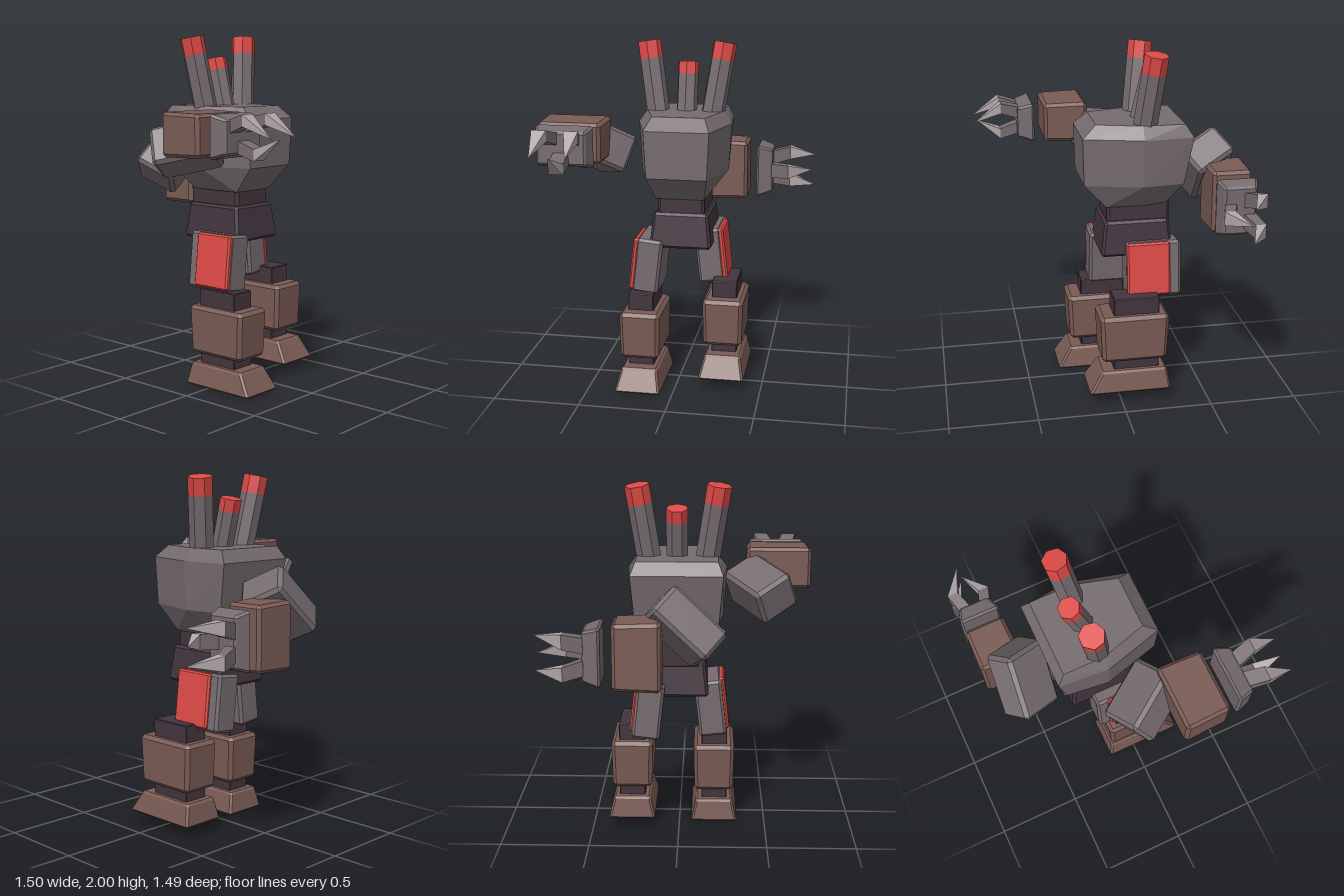
import * as THREE from 'three';
import { ConvexGeometry } from 'three/addons/geometries/ConvexGeometry.js';

const V = (x, y, z) => new THREE.Vector3(x, y, z);

function paint(name, color) {
  const m = new THREE.MeshStandardMaterial({ color, flatShading: true });
  m.name = name;
  return m;
}

export function createModel() {
  const steel = paint('grey steel', 0x766c6f);
  const rust = paint('rust brown', 0x7a5b54);
  const joint = paint('dark joint', 0x43353e);
  const red = paint('red', 0xdd4a46);
  const claw = paint('pale claw', 0xb0a5a8);

  const model = new THREE.Group();
  model.name = 'robot';

  function add(parent, name, geometry, material, x = 0, y = 0, z = 0) {
    const mesh = new THREE.Mesh(geometry, material);
    mesh.name = name;
    mesh.position.set(x, y, z);
    parent.add(mesh);
    return mesh;
  }

  function group(parent, name, x, y, z) {
    const g = new THREE.Group();
    g.name = name;
    g.position.set(x, y, z);
    parent.add(g);
    return g;
  }

  // Chamfered block; bottom and top are [width, depth, z shift]
  function block(bottom, top, h, b = 0.015) {
    const pts = [];
    for (const sx of [-1, 1]) for (const sy of [-1, 1]) for (const sz of [-1, 1]) {
      const [w, d, shift = 0] = sy < 0 ? bottom : top;
      for (let axis = 0; axis < 3; axis++) {
        const inset = [b, b, b];
        inset[axis] = 0;
        pts.push(V(sx * (w / 2 - inset[0]), sy * (h / 2 - inset[1]), shift + sz * (d / 2 - inset[2])));
      }
    }
    return new ConvexGeometry(pts);
  }
  const box = (w, h, d, b) => block([w, d], [w, d], h, b);

  // Torso: six-sided sections, [y, back z, back x, middle x, front z, front x]
  const torso = [];
  for (const [y, zb, xb, xm, zf, xf] of [
    [1.6, -0.378, 0.222, 0.222, 0.11, 0.15],
    [1.53, -0.422, 0.25, 0.273, 0.188, 0.185],
    [1.26, -0.375, 0.228, 0.257, 0.18, 0.172],
    [1.115, -0.29, 0.13, 0.145, 0.05, 0.14],
  ]) {
    for (const s of [-1, 1]) torso.push(V(s * xb, y, zb), V(s * xm, y, -0.14), V(s * xf, y, zf));
  }
  add(model, 'torso', new ConvexGeometry(torso), steel, 0.008);
  add(model, 'waist', box(0.27, 0.22, 0.36), joint, 0.013, 1.1, -0.135);
  add(model, 'hips', block([0.36, 0.415], [0.32, 0.37], 0.205), joint, 0.013, 0.93, -0.123);

  // Exhaust stacks with red ends
  function stack(name, from, to, radius, tipLength) {
    const length = from.distanceTo(to);
    const g = group(model, name, from.x, from.y, from.z);
    g.quaternion.setFromUnitVectors(V(0, 1, 0), to.clone().sub(from).normalize());
    const pipe = length - tipLength;
    add(g, 'pipe', new THREE.CylinderGeometry(radius, radius, pipe, 7), steel, 0, pipe / 2);
    add(g, 'redEnd', new THREE.CylinderGeometry(radius, radius, tipLength, 7), red, 0, length - tipLength / 2);
  }
  stack('rightStack', V(-0.152, 1.55, -0.16), V(-0.219, 1.987, -0.212), 0.069, 0.1);
  stack('leftStack', V(0.16, 1.55, -0.16), V(0.227, 1.987, -0.212), 0.069, 0.1);
  stack('middleStack', V(0.01, 1.55, -0.16), V(0.01, 1.866, -0.237), 0.061, 0.07);

  // Legs: side, then foot-level height and depth offset of each stride
  function leg(name, side, x, y, z, thighX, thighY, thighZ) {
    const g = group(model, name, x, y, z);
    add(g, 'foot', block([0.265, 0.47, 0], [0.215, 0.385, -0.025], 0.13, 0.012), rust, 0, 0.065, 0.07);
    add(g, 'knee', box(0.148, 0.45, 0.262, 0.004), joint, 0, 0.34, 0.028);
    add(g, 'shin', block([0.225, 0.375], [0.235, 0.395], 0.278, 0.02), rust, -side * 0.002, 0.328, 0.042);
    const thigh = group(model, name + 'Thigh', thighX, thighY, thighZ);
    thigh.rotation.z = side * 0.11;
    add(thigh, 'thigh', box(0.155, 0.325, 0.315), steel);
    add(thigh, 'thighPanel', box(0.035, 0.31, 0.25, 0.01), red, side * 0.077, 0.005, 0.033);
  }
  leg('rightLeg', -1, -0.203, 0, 0, -0.178, 0.715, -0.05);
  leg('leftLeg', 1, 0.27, 0.065, -0.118, 0.168, 0.75, -0.21);

  // Upper arms, turned by a long axis and a second axis
  function upperArm(name, center, long, second, size) {
    const mesh = add(model, name, box(...size, 0.02), steel, ...center);
    const x = V(...long).normalize();
    const z = x.clone().cross(V(...second)).normalize();
    const y = z.clone().cross(x);
    mesh.quaternion.setFromRotationMatrix(new THREE.Matrix4().makeBasis(x, y, z));
  }
  upperArm('rightUpperArm', [-0.455, 1.385, -0.025], [0.18, 0.07, 0.27], [0.06, 0.18, -0.08], [0.35, 0.22, 0.24]);
  upperArm('leftUpperArm', [-0.035, 1.29, -0.555], [0.28, 0.26, 0.03], [0.07, -0.11, 0.21], [0.38, 0.26, 0.2]);

  // Four corners of a finger section across z
  const section = (x, w, y0, y1, z) =>
    [-1, 1].flatMap((s) => [V(x + s * w / 2, y0, z), V(x + s * w / 2, y1, z)]);

  // Forearm, palm and claws pointing along local +z
  function forearm(name, x, y, z, basis) {
    const g = group(model, name, x, y, z);
    if (basis) g.quaternion.setFromRotationMatrix(new THREE.Matrix4().makeBasis(...basis));
    add(g, 'forearm', block([0.355, 0.225], [0.37, 0.235], 0.255, 0.018), rust).rotation.x = -Math.PI / 2;
    const palm = add(g, 'palm', block([0.318, 0.228], [0.275, 0.185], 0.095, 0.012), steel, 0, 0, 0.233);
    palm.rotation.x = Math.PI / 2;
    // Two upper claws and one opposing thumb: [spread, up or down]
    for (const [side, up] of [[-1, 1], [1, 1], [0, -1]]) {
      const root = section(side * 0.06, 0.085, up * 0.02, up * 0.088, 0.275);
      const knuckle = section(side * 0.087, 0.08, up * 0.058, up * 0.118, 0.38);
      const tip = V(side * 0.096, 0, side ? 0.543 : 0.525);
      add(g, 'finger', new ConvexGeometry([...root, ...knuckle]), steel);
      add(g, 'clawTip', new ConvexGeometry([...knuckle, tip]), claw);
    }
  }
  forearm('rightForearm', -0.565, 1.477, 0.2);
  forearm('leftForearm', 0.205, 1.167, -0.63, [V(0, -1, 0), V(0, 0, -1), V(1, 0, 0)]);

  return model;
}
